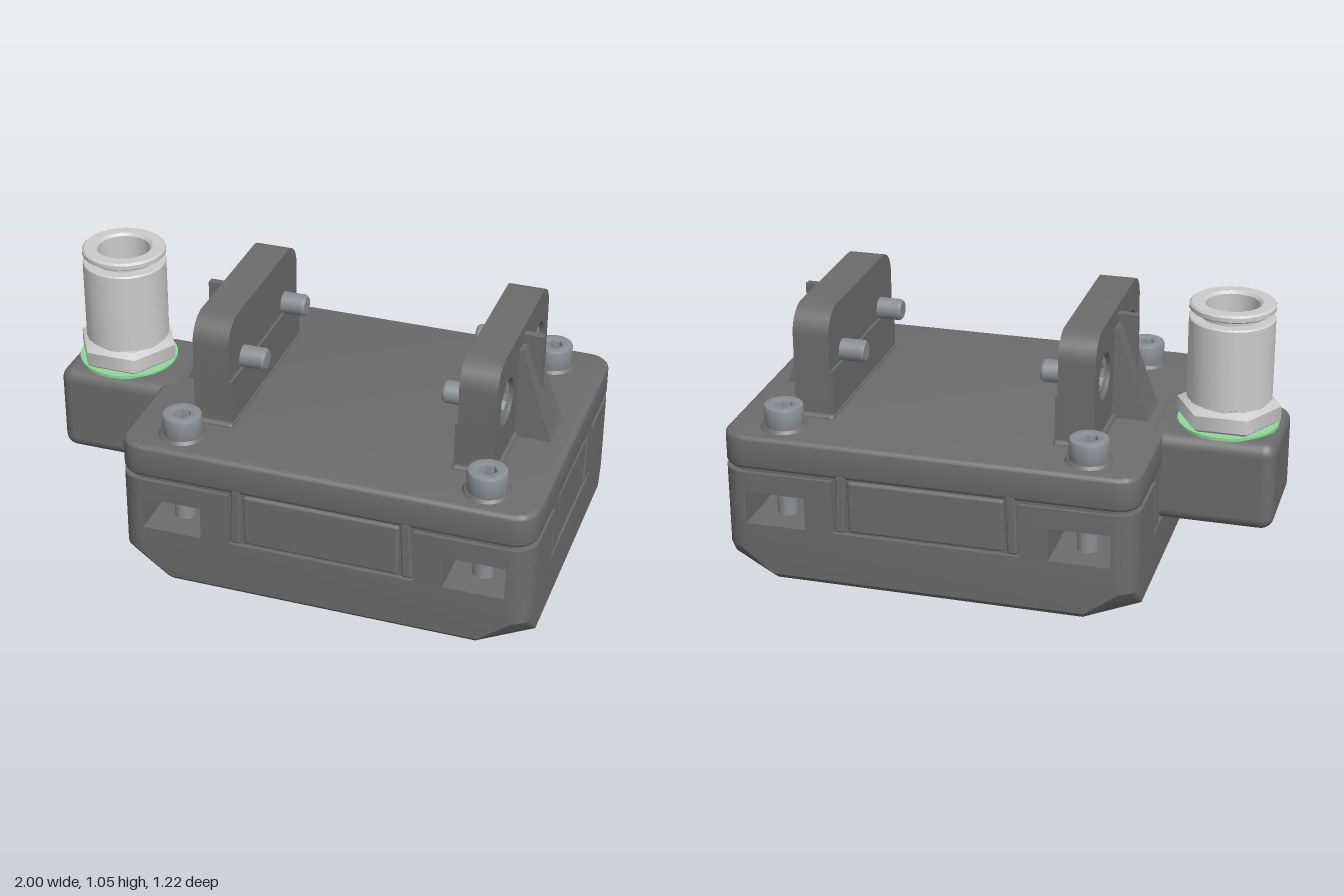
import * as THREE from 'three';
import { toCreasedNormals } from 'three/addons/utils/BufferGeometryUtils.js';
import { RoundedBoxGeometry } from 'three/addons/geometries/RoundedBoxGeometry.js';
import { ConvexGeometry } from 'three/addons/geometries/ConvexGeometry.js';

const dark = new THREE.MeshStandardMaterial({ color: 0x6c6c6c });
const steel = new THREE.MeshStandardMaterial({ color: 0x8a8e92 });
const light = new THREE.MeshStandardMaterial({ color: 0xcccccc });
const green = new THREE.MeshStandardMaterial({ color: 0x8fd89a });

const HX = 0.79, HZ = 0.61, R = 0.09; // half sizes and corner radius of the housing

function add(parent, name, geometry, material, x = 0, y = 0, z = 0) {
  const mesh = new THREE.Mesh(geometry, material);
  mesh.name = name;
  mesh.position.set(x, y, z);
  parent.add(mesh);
  return mesh;
}

// Rounded rectangle outline as points
function roundedOutline(hx, hz, r, n = 6) {
  const pts = [];
  [[1, 1], [-1, 1], [-1, -1], [1, -1]].forEach(([sx, sz], q) => {
    for (let i = 0; i <= n; i++) {
      const a = (q + i / n) * Math.PI / 2;
      pts.push(new THREE.Vector2(sx * (hx - r) + r * Math.cos(a), sz * (hz - r) + r * Math.sin(a)));
    }
  });
  return pts;
}

// Plan outline raised from y0 to y1, with optional rounded rims
function slab(pts, y0, y1, bevel = 0) {
  const g = new THREE.ExtrudeGeometry(new THREE.Shape(pts), {
    depth: y1 - y0 - 2 * bevel, bevelEnabled: bevel > 0, bevelSize: bevel,
    bevelThickness: bevel, bevelOffset: -bevel, bevelSegments: 3,
  });
  g.rotateX(-Math.PI / 2).translate(0, y0 + bevel, 0);
  return toCreasedNormals(g, 0.6);
}

function hexPath(r) {
  return new THREE.Path(Array.from({ length: 6 }, (_, i) =>
    new THREE.Vector2(r * Math.cos(i * Math.PI / 3), r * Math.sin(i * Math.PI / 3))));
}

// Screw head with a hexagon socket, standing on y = 0
function socketHead(r, h) {
  const group = new THREE.Group();
  const shape = new THREE.Shape().absarc(0, 0, r, 0, Math.PI * 2);
  shape.holes.push(hexPath(r * 0.45));
  const g = new THREE.ExtrudeGeometry(shape, {
    depth: h - 0.01, bevelSize: 0.01, bevelThickness: 0.01, bevelOffset: -0.01, bevelSegments: 2, curveSegments: 20,
  });
  g.rotateX(-Math.PI / 2);
  add(group, 'head', toCreasedNormals(g, 0.6), steel);
  add(group, 'socketFloor', new THREE.CylinderGeometry(r * 0.7, r * 0.7, h * 0.5, 20), steel, 0, h * 0.25);
  return group;
}

// Lower tray with sloped ends and chamfered corners
function trayBottom() {
  const pts = [];
  for (const p of roundedOutline(HX, HZ, R))
    for (const y of [0.12, 0.225]) pts.push(new THREE.Vector3(p.x, y, p.y));
  for (const sx of [-1, 1]) for (const sz of [-1, 1]) pts.push(
    new THREE.Vector3(sx * HX, 0.045, sz * 0.5),
    new THREE.Vector3(sx * 0.6, 0.025, sz * HZ),
    new THREE.Vector3(sx * 0.59, 0, sz * 0.585));
  return toCreasedNormals(new ConvexGeometry(pts), 0.35);
}

// Outline of one tray corner, optionally with the nut pocket cut into it
function cornerOutline(sx, sz, pocket) {
  const pts = [[0.355, 0.305], [HX, 0.305]];
  for (let i = 0; i <= 6; i++) {
    const a = i / 6 * Math.PI / 2;
    pts.push([HX - R + R * Math.cos(a), HZ - R + R * Math.sin(a)]);
  }
  if (pocket) pts.push([0.695, HZ], [0.695, 0.36], [0.465, 0.36], [0.465, HZ]);
  pts.push([0.355, HZ]);
  return pts.map(([x, z]) => new THREE.Vector2(sx * x, sz * z));
}

function housing() {
  const g = new THREE.Group();
  g.name = 'housing';
  add(g, 'trayBottom', trayBottom(), dark);
  // recessed core seen in the seams
  add(g, 'coreLengthwise', new THREE.BoxGeometry(1.544, 0.24, 0.62), dark, 0, 0.33);
  add(g, 'coreCrosswise', new THREE.BoxGeometry(0.72, 0.24, 1.184), dark, 0, 0.33);
  add(g, 'seam', slab(roundedOutline(HX - 0.016, HZ - 0.016, R), 0.42, 0.46), dark);
  add(g, 'lid', slab(roundedOutline(HX, HZ, R), 0.447, 0.58, 0.018), dark);
  for (const sx of [-1, 1]) for (const sz of [-1, 1]) {
    add(g, 'trayCornerPocket', slab(cornerOutline(sx, sz, true), 0.225, 0.355), dark);
    add(g, 'trayCornerTop', slab(cornerOutline(sx, sz, false), 0.355, 0.435), dark);
    // lid screw with its boss and its shank in the pocket
    add(g, 'screwBoss', new THREE.CylinderGeometry(0.08, 0.09, 0.012, 24), dark, sx * 0.58, 0.585, sz * 0.475);
    const head = socketHead(0.074, 0.09);
    head.name = 'lidScrew';
    head.position.set(sx * 0.58, 0.58, sz * 0.475);
    g.add(head);
    add(g, 'screwShank', new THREE.CylinderGeometry(0.04, 0.04, 0.2, 16), steel, sx * 0.58, 0.3, sz * 0.475);
  }
  // lid skirts: two legs and a panel on every side
  for (const s of [-1, 1]) {
    add(g, 'frontPanel', new RoundedBoxGeometry(0.595, 0.208, 0.06, 2, 0.012), dark, 0, 0.338, s * 0.577);
    add(g, 'sidePanel', new RoundedBoxGeometry(0.06, 0.208, 0.415, 2, 0.012), dark, s * 0.757, 0.338, 0);
    for (const t of [-1, 1]) {
      const a = add(g, 'frontSkirtLeg', new RoundedBoxGeometry(0.04, 0.235, 0.06, 2, 0.01), dark, t * 0.326, 0.348, s * 0.58);
      a.rotation.z = t * -0.04 * -1;
      const b = add(g, 'sideSkirtLeg', new RoundedBoxGeometry(0.06, 0.235, 0.076, 2, 0.01), dark, s * 0.76, 0.348, t * 0.256);
      b.rotation.x = t * 0.03;
    }
  }
  return g;
}

// Upright plate outline in z and y, with rounded top corners
function plateShape(holes) {
  const w = 0.365, r = 0.1, s = new THREE.Shape();
  s.moveTo(-w, 0.57).lineTo(w, 0.57).lineTo(w, 1 - r);
  s.absarc(w - r, 1 - r, r, 0, Math.PI / 2);
  s.absarc(r - w, 1 - r, r, Math.PI / 2, Math.PI);
  if (holes) for (const z of [-0.22, 0.22]) s.holes.push(new THREE.Path().absarc(z, 0.8, 0.088, 0, Math.PI * 2, true));
  return s;
}

// Bracket facing outwards along +x
function bracket() {
  const g = new THREE.Group();
  g.name = 'bracket';
  for (const [x, holes] of [[0.435, false], [0.505, true]]) {
    const plate = new THREE.ExtrudeGeometry(plateShape(holes), { depth: 0.07, bevelEnabled: false, curveSegments: 16 });
    plate.rotateY(Math.PI / 2);
    add(g, holes ? 'outerPlate' : 'innerPlate', toCreasedNormals(plate, 0.6), dark, x);
  }
  add(g, 'innerLedge', new THREE.BoxGeometry(0.02, 0.19, 0.73), dark, 0.435, 0.67);
  add(g, 'footFillet', new RoundedBoxGeometry(0.17, 0.03, 0.77, 2, 0.014), dark, 0.505, 0.579);
  // sloped gusset and thin rib on the outside
  const gusset = new THREE.Shape([[0.56, 0.57], [0.72, 0.57], [0.705, 0.6], [0.59, 0.93], [0.56, 0.93]]
    .map(p => new THREE.Vector2(...p)));
  const gg = new THREE.ExtrudeGeometry(gusset, { depth: 0.18, bevelEnabled: false }).translate(0, 0, -0.09);
  const pos = gg.attributes.position;
  for (let i = 0; i < pos.count; i++) pos.setZ(i, pos.getZ(i) * (1 - 0.6 * (pos.getY(i) - 0.57)));
  gg.computeVertexNormals();
  add(g, 'gusset', gg, dark);
  add(g, 'rib', new THREE.BoxGeometry(0.09, 0.22, 0.03), dark, 0.605, 0.857);
  // clamping bolts
  for (const z of [-0.22, 0.22]) {
    const head = socketHead(0.076, 0.06);
    head.name = 'clampBolt';
    head.rotation.z = -Math.PI / 2;
    head.position.set(0.505, 0.8, z);
    g.add(head);
    const tip = new THREE.LatheGeometry([[0, -0.1], [0.034, -0.1], [0.042, -0.09], [0.042, 0.05]]
      .map(p => new THREE.Vector2(...p)), 18).rotateZ(-Math.PI / 2);
    add(g, 'boltTip', toCreasedNormals(tip, 0.6), steel, 0.44, 0.8, z);
  }
  return g;
}

// Hose fitting on its side block
function fitting() {
  const g = new THREE.Group();
  g.name = 'fitting';
  add(g, 'portBlock', new RoundedBoxGeometry(0.5, 0.35, 0.405, 4, 0.05), dark, 0.04, 0.407);
  add(g, 'sealRing', new THREE.CylinderGeometry(0.19, 0.19, 0.012, 40), green, 0, 0.584);
  const nut = (name, r0, r1, h, y) =>
    add(g, name, new THREE.CylinderGeometry(r1, r0, h, 6).rotateY(Math.PI / 6).toNonIndexed(), light, 0, y);
  nut('nutLowerChamfer', 0.175, 0.196, 0.015, 0.596);
  nut('nut', 0.196, 0.196, 0.055, 0.631);
  nut('nutUpperChamfer', 0.196, 0.165, 0.018, 0.667);
  const profile = [[0.15, 0.66], [0.15, 0.68], [0.16, 0.685], [0.16, 0.995], [0.155, 1], [0.116, 1], [0.116, 1.025],
    [0.15, 1.025], [0.16, 1.032], [0.16, 1.048], [0.152, 1.055], [0.11, 1.055], [0.1, 1.045], [0.1, 0.7], [0, 0.7]];
  const sleeve = new THREE.LatheGeometry(profile.map(p => new THREE.Vector2(...p)), 24);
  add(g, 'sleeve', toCreasedNormals(sleeve, 0.5), light);
  add(g, 'boreHexagon', new THREE.CylinderGeometry(0.09, 0.09, 0.01, 6).rotateY(Math.PI / 6), dark, 0, 0.702);
  g.position.x = -0.79;
  return g;
}

export function createModel() {
  const model = new THREE.Group();
  model.name = 'clampModule';
  const main = new THREE.Group();
  main.name = 'mainBody';
  main.position.x = 0.21;
  const left = bracket(), right = bracket();
  right.rotation.y = Math.PI;
  main.add(housing(), left, right);
  model.add(main, fitting());
  return model;
}
